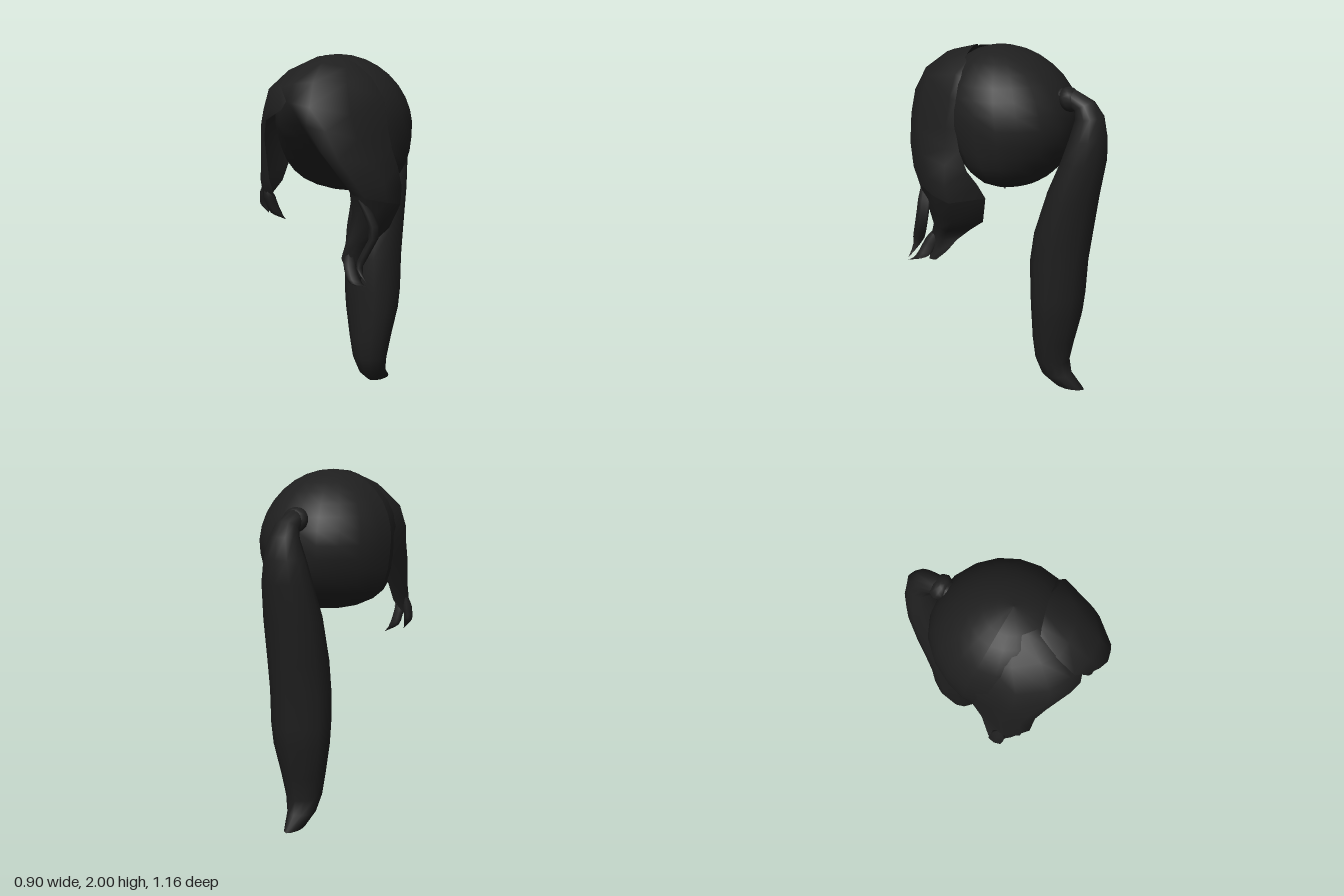
import * as THREE from 'three';

const hair = new THREE.MeshStandardMaterial({ color: 0x1f1f1f, side: THREE.DoubleSide });
hair.name = 'charcoalHair';

// Skin a list of equal-length point rows; closed joins each row into a ring
function loft(name, rows, closed = false) {
  const n = rows[0].length, index = [];
  for (let r = 0; r < rows.length - 1; r++)
    for (let i = 0; i < (closed ? n : n - 1); i++) {
      const a = r * n + i, b = r * n + (i + 1) % n;
      index.push(a, a + n, b, b, a + n, b + n);
    }
  const g = new THREE.BufferGeometry();
  g.setAttribute('position', new THREE.Float32BufferAttribute(rows.flat(2), 3));
  g.setIndex(index);
  g.computeVertexNormals();
  const mesh = new THREE.Mesh(g, hair);
  mesh.name = name;
  return mesh;
}

// Thin curved wisp with an oval section that tapers to a point
function strand(name, points, width, depth) {
  const curve = new THREE.CatmullRomCurve3(points.map(p => new THREE.Vector3(...p)));
  const rows = [], steps = 9, sides = 6;
  for (let s = 0; s <= steps; s++) {
    const t = s / steps, c = curve.getPoint(t);
    const k = Math.max(0.02, Math.min(1, 0.4 + 3 * t, 2.8 * (1 - t)));
    const row = [];
    for (let i = 0; i < sides; i++) {
      const a = i / sides * Math.PI * 2;
      row.push([c.x + Math.cos(a) * width * k, c.y, c.z + Math.sin(a) * depth * k]);
    }
    rows.push(row);
  }
  return loft(name, rows, true);
}

// Rounded crown: flattened at the back, broad at the nape, sloping underside below the brow
function crown() {
  const g = new THREE.SphereGeometry(1, 20, 16);
  const p = g.attributes.position;
  for (let i = 0; i < p.count; i++) {
    const x = p.getX(i), y = p.getY(i), z = p.getZ(i);
    const low = Math.min(y, 0);
    const depth = z > 0 ? 0.39 + 0.1 * low : 0.4 + 0.08 * low;
    const broad = 1 + 0.55 * low * low * THREE.MathUtils.clamp(z + 0.8, 0, 1);
    const py = 1.61 + y * 0.39;
    const pz = 0.02 + 0.06 * y + z * depth;
    const slope = 0.055 + 0.8 * (py - 1.25);
    p.setXYZ(i, -0.015 + x * 0.39 * broad, py, Math.max(-0.355, Math.min(pz, slope)));
  }
  g.computeVertexNormals();
  const m = new THREE.Mesh(g, hair);
  m.name = 'crown';
  return m;
}

// Fringe rows run from the face edge, round the side, to the tucked-in rear edge
const leftSweep = [
  [[-.09, 1.955, .27], [-.04, 1.985, .25], [.03, 1.99, .23], [.1, 1.98, .21], [.17, 1.95, .2], [.17, 1.93, .19]],
  [[-.12, 1.91, .39], [-.03, 1.945, .4], [.07, 1.95, .38], [.18, 1.925, .31], [.27, 1.875, .2], [.26, 1.86, .17]],
  [[-.12, 1.82, .49], [-.02, 1.84, .52], [.1, 1.85, .51], [.24, 1.84, .4], [.345, 1.76, .19], [.33, 1.75, .16]],
  [[-.06, 1.75, .53], [0, 1.74, .57], [.12, 1.72, .575], [.28, 1.68, .43], [.375, 1.6, .2], [.34, 1.59, .16]],
  [[.04, 1.64, .55], [.1, 1.62, .58], [.2, 1.6, .55], [.32, 1.55, .42], [.395, 1.49, .19], [.35, 1.47, .13]],
  [[.13, 1.5, .52], [.18, 1.48, .55], [.26, 1.45, .52], [.37, 1.42, .36], [.425, 1.4, .18], [.34, 1.36, .09]],
  [[.2, 1.39, .47], [.25, 1.36, .5], [.32, 1.33, .46], [.41, 1.31, .3], [.445, 1.29, .17], [.28, 1.27, .06]],
  [[.26, 1.29, .41], [.29, 1.26, .43], [.35, 1.24, .4], [.41, 1.21, .27], [.43, 1.19, .155], [.23, 1.18, .04]],
];
const leftLock = [
  leftSweep[7],
  [[.235, 1.15, .34], [.29, 1.13, .38], [.34, 1.11, .35], [.37, 1.08, .26], [.37, 1.06, .17], [.21, 1.03, .07]],
  [[.195, 1, .33], [.24, 1, .38], [.28, .99, .36], [.305, .98, .3], [.305, .97, .25], [.2, .96, .165]],
  [[.185, .92, .36], [.21, .91, .41], [.25, .9, .4], [.275, .9, .34], [.275, .9, .3], [.24, .9, .23]],
  [[.21, .85, .37], [.24, .84, .41], [.26, .83, .4], [.28, .83, .35], [.285, .83, .32], [.27, .83, .28]],
  [[.28, .77, .38], [.285, .77, .39], [.29, .77, .39], [.295, .77, .38], [.295, .77, .36], [.29, .77, .345]],
];
const rightSweep = [
  [[0, 1.96, .28], [-.05, 1.98, .24], [-.1, 1.975, .2], [-.15, 1.96, .15], [-.2, 1.92, .08]],
  [[0, 1.9, .4], [-.1, 1.92, .38], [-.18, 1.91, .33], [-.265, 1.885, .21], [-.29, 1.85, .06]],
  [[-.04, 1.8, .5], [-.14, 1.82, .48], [-.25, 1.81, .42], [-.345, 1.79, .28], [-.365, 1.74, .06]],
  [[-.1, 1.7, .52], [-.18, 1.71, .5], [-.28, 1.7, .43], [-.385, 1.67, .28], [-.395, 1.63, .04]],
  [[-.25, 1.64, .45], [-.29, 1.63, .43], [-.345, 1.6, .37], [-.4, 1.56, .25], [-.39, 1.5, .03]],
  [[-.3, 1.54, .4], [-.33, 1.52, .39], [-.375, 1.48, .33], [-.41, 1.44, .23], [-.38, 1.4, .03]],
  [[-.305, 1.3, .35], [-.34, 1.3, .37], [-.38, 1.29, .33], [-.42, 1.27, .25], [-.39, 1.27, .1]],
  [[-.315, 1.2, .29], [-.35, 1.19, .31], [-.39, 1.19, .29], [-.43, 1.18, .24], [-.44, 1.17, .17]],
];

// Ponytail sections: front z, front y, back z, back y, half width
const tailSections = [
  [-.31, 1.72, -.3, 1.8, .05], [-.36, 1.7, -.39, 1.8, .055], [-.39, 1.69, -.5, 1.75, .065],
  [-.4, 1.65, -.56, 1.67, .085], [-.37, 1.54, -.58, 1.55, .12], [-.33, 1.42, -.58, 1.42, .145],
  [-.25, 1.23, -.54, 1.2, .17], [-.165, .97, -.51, .97, .175], [-.14, .8, -.485, .8, .175],
  [-.145, .6, -.47, .6, .175], [-.15, .48, -.455, .48, .165], [-.155, .3, -.41, .3, .13],
  [-.17, .17, -.38, .16, .105], [-.21, .07, -.4, .08, .08], [-.285, .01, -.485, .005, .05],
  [-.38, .005, -.39, .005, .005],
];

// Rounded sections with a soft ridge down the back
function ponytail() {
  const sides = 12;
  const rows = tailSections.map(([zf, yf, zb, yb, w]) => Array.from({ length: sides }, (_, i) => {
    const a = i / sides * Math.PI * 2;
    const ridge = Math.cos(a) < 0 ? 0.05 * Math.sin(2 * a) ** 2 : 0;
    const t = (1 - Math.cos(a)) / 2 - ridge;
    return [-0.01 + Math.sin(a) * w, yf + (yb - yf) * t, zf + (zb - zf) * t];
  }));
  return loft('ponytail', rows, true);
}

export function createModel() {
  const group = new THREE.Group();
  group.name = 'hairstyle';
  group.add(crown(), ponytail());
  group.add(loft('leftFringe', leftSweep), loft('leftLock', leftLock), loft('rightFringe', rightSweep));

  // Tie at the root of the ponytail
  const tie = new THREE.Mesh(new THREE.SphereGeometry(1, 10, 8), hair);
  tie.name = 'hairTie';
  tie.scale.set(.075, .07, .055);
  tie.position.set(-.01, 1.745, -.355);
  tie.rotation.x = .4;
  group.add(tie);

  // Loose wisps ending the fringe
  group.add(
    strand('leftFrontWisp', [[.29, 1.27, .4], [.35, 1.17, .37], [.39, 1.05, .365], [.355, .94, .41], [.34, .87, .44], [.4, .8, .46]], .022, .04),
    strand('leftLowerWisp', [[.23, .95, .36], [.26, .86, .4], [.31, .79, .425], [.4, .785, .46]], .03, .045),
    strand('rightInnerWisp', [[-.35, 1.25, .31], [-.345, 1.17, .28], [-.33, 1.1, .25], [-.285, 1.06, .22]], .03, .04),
    strand('rightOuterWisp', [[-.415, 1.27, .23], [-.43, 1.19, .22], [-.435, 1.14, .21], [-.405, 1.09, .22]], .02, .045),
  );
  return group;
}
